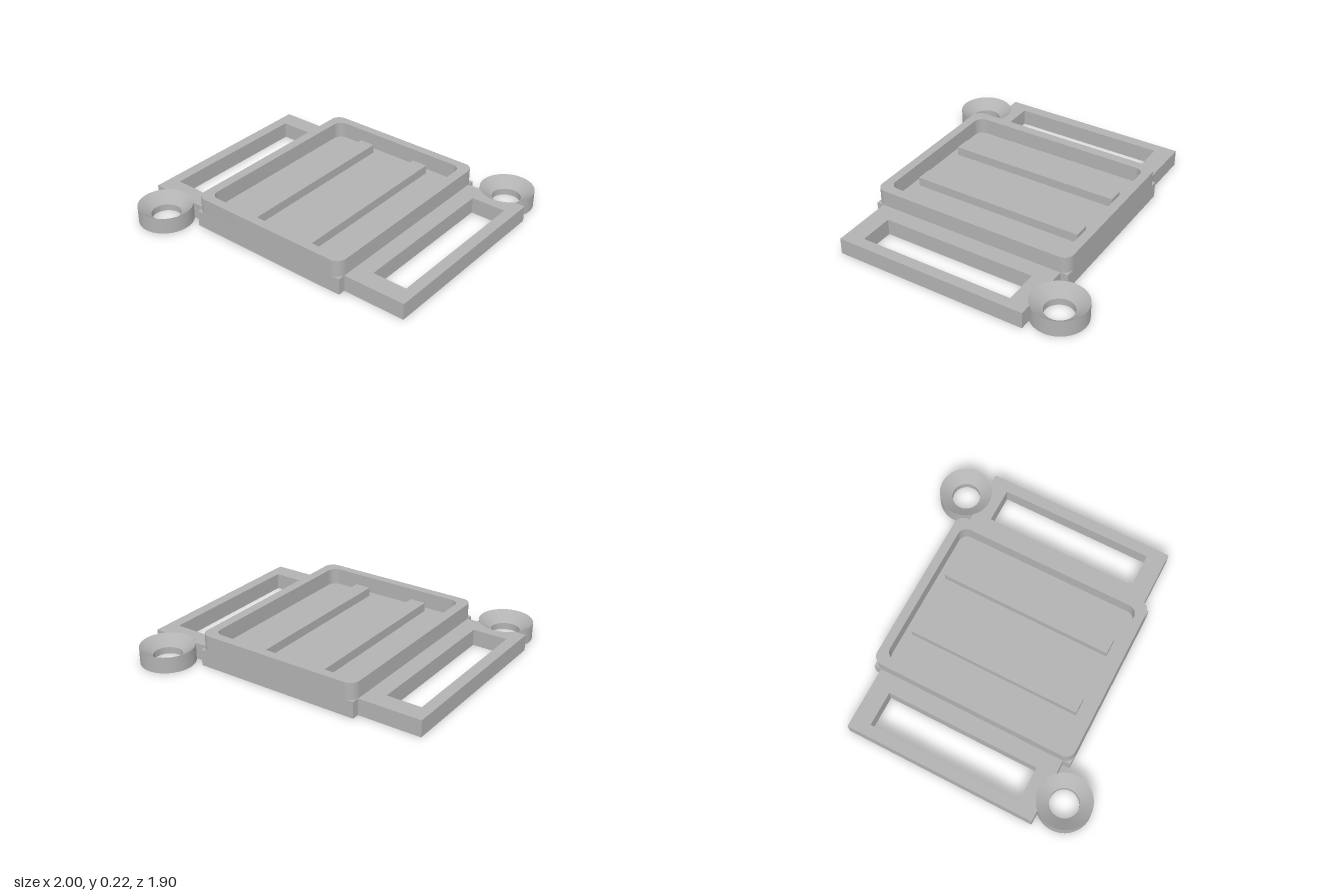
import * as THREE from 'three';
import { toCreasedNormals } from 'three/addons/utils/BufferGeometryUtils.js';

const grey = new THREE.MeshStandardMaterial({ color: 0xb2b2b2 });
grey.name = 'grey';

const H = 0.11; // thickness of the base layer

function part(name, geometry, y = 0) {
  const mesh = new THREE.Mesh(geometry, grey);
  mesh.name = name;
  mesh.position.y = y;
  return mesh;
}

// Rounded rectangle centred on the origin, with half sizes a and b
function roundedRect(target, a, b, r) {
  target.absarc(a - r, b - r, r, 0, Math.PI / 2);
  target.absarc(-a + r, b - r, r, Math.PI / 2, Math.PI);
  target.absarc(-a + r, -b + r, r, Math.PI, Math.PI * 1.5);
  target.absarc(a - r, -b + r, r, Math.PI * 1.5, Math.PI * 2);
  target.closePath();
  return target;
}

// Extrude a plan outline upwards (outline y becomes -z)
function slab(shape, height) {
  const g = new THREE.ExtrudeGeometry(shape, { depth: height, bevelEnabled: false, curveSegments: 16 });
  g.rotateX(-Math.PI / 2);
  return toCreasedNormals(g, 0.5);
}

// Slotted strap wing with a countersunk screw ring at its corner
function createSide() {
  const side = new THREE.Group();
  const cx = 0.795, cz = 0.773, R = 0.178, hole = 0.095, edge = 0.65;
  const angle = Math.asin((cz - edge) / R);

  const outline = new THREE.Shape();
  outline.moveTo(0.575, -edge);
  outline.lineTo(1, -edge);
  outline.lineTo(1, edge);
  outline.absarc(cx, cz, R, -angle, -Math.PI + angle, true);
  outline.lineTo(0.575, edge);
  outline.closePath();

  const slot = new THREE.Path();
  slot.moveTo(0.69, -0.525);
  slot.lineTo(0.69, 0.525);
  slot.lineTo(0.925, 0.525);
  slot.lineTo(0.925, -0.525);
  slot.closePath();
  outline.holes.push(slot);
  side.add(part('strapWing', slab(outline, H)));

  const profile = [[hole, 0], [R, 0], [R, H], [hole, 0.045], [hole, 0]]
    .map(([x, y]) => new THREE.Vector2(x, y));
  const ring = part('screwRing', toCreasedNormals(new THREE.LatheGeometry(profile, 64), 0.5));
  ring.position.set(cx, 0, -cz);
  side.add(ring);
  return side;
}

export function createModel() {
  const model = new THREE.Group();
  model.name = 'mountingTray';

  // Square base and rounded rim around the recess
  model.add(part('base', new THREE.BoxGeometry(1.15, H, 1.4), H / 2));
  const rim = roundedRect(new THREE.Shape(), 0.575, 0.7, 0.065);
  rim.holes.push(roundedRect(new THREE.Path(), 0.51, 0.64, 0.06));
  model.add(part('rim', slab(rim, 0.11), H));

  // Support ribs on the recess floor
  for (const x of [-0.223, 0.22]) {
    const rib = part('rib', new THREE.BoxGeometry(0.108, 0.06, 1.18), H + 0.03);
    rib.position.x = x;
    model.add(rib);
  }

  // Both sides, the second turned half way round
  for (const [name, turn] of [['leftSide', 0], ['rightSide', Math.PI]]) {
    const side = createSide();
    side.name = name;
    side.rotation.y = turn;
    model.add(side);
  }
  return model;
}
